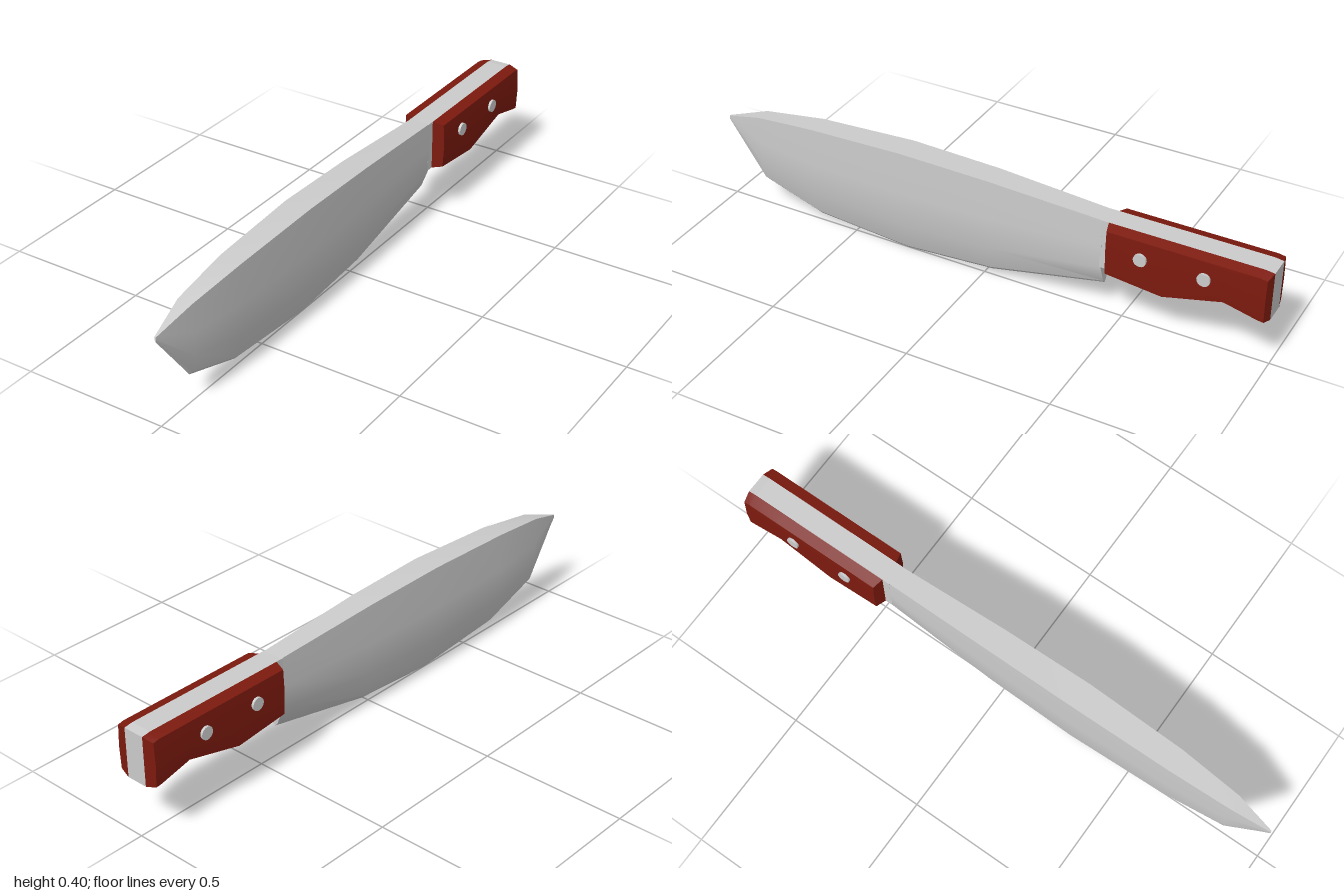
import * as THREE from 'three';
import { toCreasedNormals } from 'three/addons/utils/BufferGeometryUtils.js';

const steel = new THREE.MeshStandardMaterial({ color: 0xcccccc });
const red = new THREE.MeshStandardMaterial({ color: 0x7d1a0e });

// Skins closed rings of [x, y, z] (counter-clockwise from +z, listed from back to front) and caps both ends
function loft(rings, crease) {
  const pos = [];
  const tri = (a, b, c) => pos.push(...a, ...b, ...c);
  const n = rings[0].length;
  for (let s = 0; s < rings.length - 1; s++) {
    const a = rings[s], b = rings[s + 1];
    for (let i = 0; i < n; i++) {
      const j = (i + 1) % n;
      tri(a[i], a[j], b[j]);
      tri(a[i], b[j], b[i]);
    }
  }
  const centre = (r) => [0, 1, 2].map((k) => r.reduce((t, p) => t + p[k], 0) / n);
  const back = rings[0], front = rings[rings.length - 1];
  for (let i = 0; i < n; i++) {
    const j = (i + 1) % n;
    tri(centre(back), back[j], back[i]);
    tri(centre(front), front[i], front[j]);
  }
  const geo = new THREE.BufferGeometry();
  geo.setAttribute('position', new THREE.Float32BufferAttribute(pos, 3));
  return toCreasedNormals(geo, crease);
}

function add(group, name, geo, material) {
  const mesh = new THREE.Mesh(geo, material);
  mesh.name = name;
  group.add(mesh);
  return mesh;
}

// Blade section: thick spine, gently bulging sides, ground down to a narrow edge
function bladeRing([z, top, edge, w]) {
  const h = top - edge;
  const bevel = Math.min(0.012, h * 0.3);
  const right = [
    [Math.min(0.011, w * 0.5), edge + bevel, z],
    [w * 0.94, edge + h * 0.3, z],
    [w, edge + h * 0.62, z],
    [w * 0.94, top, z],
  ];
  const left = right.map(([x, y, q]) => [-x, y, q]).reverse();
  return [[0, edge, z], ...right, ...left];
}

const mirrorRing = (ring) => ring.map(([x, y, z]) => [-x, y, z]).reverse();

export function createModel() {
  const knife = new THREE.Group();
  knife.name = 'knife';

  // Blade stations: z, spine height, edge height, half thickness
  const blade = [
    [-0.435, 0.366, 0.11, 0.038],
    [-0.03, 0.388, 0.023, 0.047],
    [0.29, 0.395, 0.0, 0.05],
    [0.64, 0.38, 0.027, 0.043],
    [0.86, 0.355, 0.1, 0.028],
    [1.0, 0.312, 0.294, 0.003],
  ];
  add(knife, 'blade', loft(blade.map(bladeRing), 0.4), steel);

  // Handle outline: z, underside height, top height
  const grip = [
    [-1.0, 0.192, 0.362],
    [-0.97, 0.195, 0.366],
    [-0.86, 0.221, 0.366],
    [-0.66, 0.17, 0.366],
    [-0.457, 0.19, 0.366],
  ];
  const inner = 0.037;

  // Tang running through the handle into the blade
  const tang = [...grip, [-0.43, 0.19, 0.366]].map(([z, low, top]) => [
    [-inner, low, z], [inner, low, z], [inner, top, z], [-inner, top, z],
  ]);
  add(knife, 'tang', loft(tang, 0.1), steel);

  // Bevelled handle scales
  const scale = grip.map(([z, low, top], i) => {
    const inset = i === 0 ? 0.008 : i === grip.length - 1 ? -0.01 : 0;
    return [
      [inner, low, z],
      [0.074, low + 0.01, z + inset],
      [0.078, (low + top) / 2, z + inset],
      [0.074, top - 0.009, z + inset],
      [inner, top, z],
    ];
  });
  add(knife, 'leftHandleScale', loft(scale, 0.15), red);
  add(knife, 'rightHandleScale', loft(scale.map(mirrorRing), 0.15), red);

  // Rivets through both scales
  for (const z of [-0.585, -0.795]) {
    const rivet = add(knife, 'rivet', new THREE.CylinderGeometry(0.022, 0.022, 0.17, 16), steel);
    rivet.rotation.z = Math.PI / 2;
    rivet.position.set(0, 0.295, z);
  }
  return knife;
}
